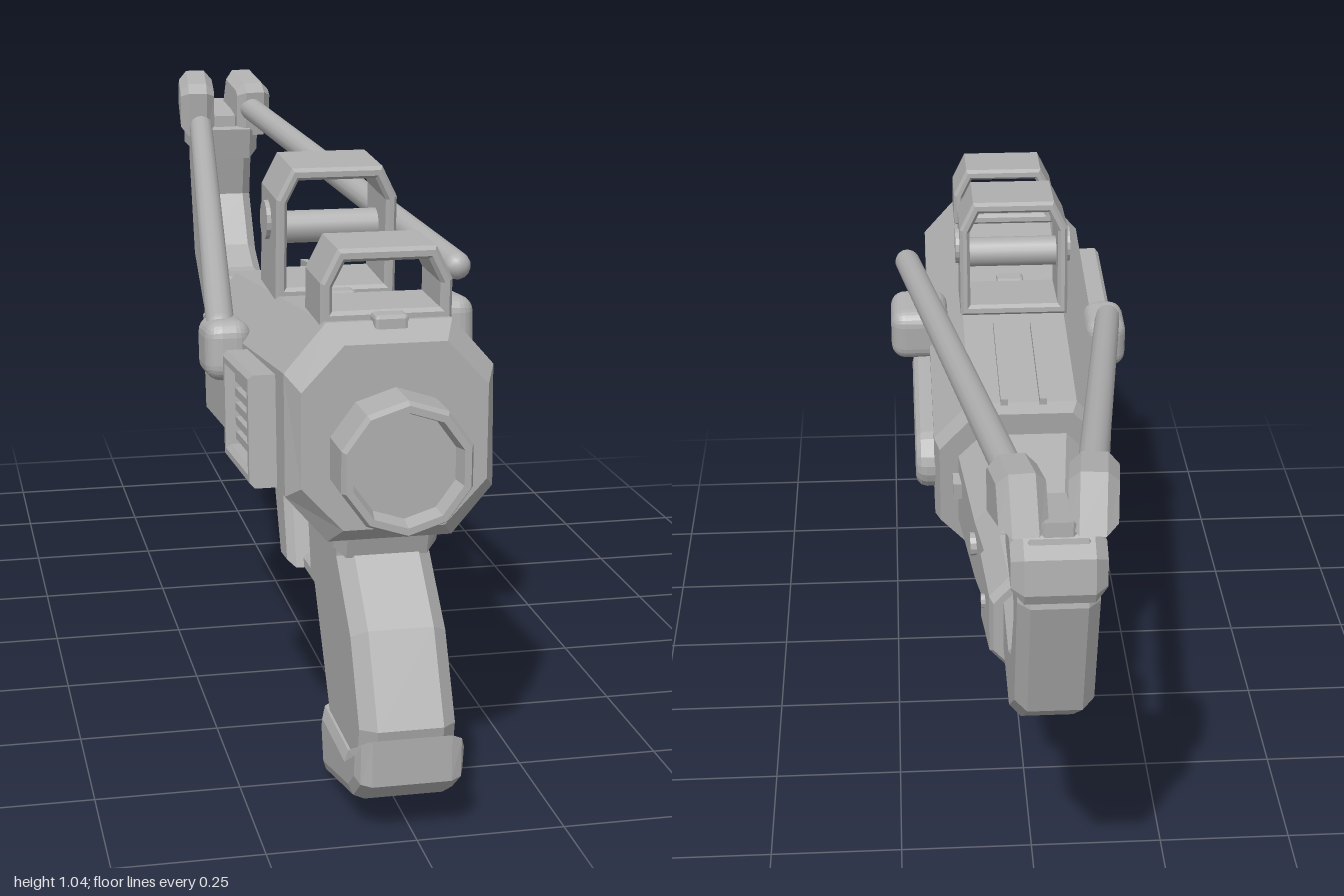
import * as THREE from 'three';
import { RoundedBoxGeometry } from 'three/addons/geometries/RoundedBoxGeometry.js';

const CX = -0.01; // centre plane of the frame
const gunGrey = new THREE.MeshStandardMaterial({ color: 0xb0b0b0, flatShading: true });
gunGrey.name = 'gunGrey';
const smoothGrey = new THREE.MeshStandardMaterial({ color: 0xb0b0b0 });
smoothGrey.name = 'smoothGrey';

export function createModel() {
  const root = new THREE.Group();
  root.name = 'crossbowPistol';

  const add = (name, geo, pos = [0, 0, 0], rot = [0, 0, 0], mat = gunGrey) => {
    const m = new THREE.Mesh(geo, mat);
    m.name = name;
    m.position.set(...pos);
    m.rotation.set(...rot);
    root.add(m);
    return m;
  };
  const toShape = (pts) => new THREE.Shape(pts.map(([a, b]) => new THREE.Vector2(a, b)));

  // Plate cut from a [z, y] outline, with its thickness along x
  const side = (name, pts, width, bevel = 0.015, x = CX, segs = 1) => {
    const geo = new THREE.ExtrudeGeometry(toShape(pts), {
      depth: width - 2 * bevel, bevelEnabled: true, bevelThickness: bevel,
      bevelSize: bevel, bevelOffset: -bevel, bevelSegments: segs,
    });
    geo.translate(0, 0, -(width - 2 * bevel) / 2);
    geo.rotateY(-Math.PI / 2);
    return add(name, geo, [x, 0, 0]);
  };

  // Octagonal hull through sections [z, y, halfWidth, halfHeight, chamferX, chamferY, lean]
  const hull = (name, sections) => {
    const rings = sections.map(([z, y, w, h, cx, cy, lean]) =>
      [[w, cy - h], [w, h - cy], [w - cx, h], [cx - w, h], [-w, h - cy], [-w, cy - h], [cx - w, -h], [w - cx, -h]]
        .map(([px, py]) => [px + CX, py + y, z - lean * py]));
    const v = [];
    const tri = (...p) => p.forEach((q) => v.push(...q));
    for (let s = 0; s < rings.length - 1; s++) {
      for (let i = 0; i < 8; i++) {
        const a = rings[s], b = rings[s + 1], j = (i + 1) % 8;
        tri(a[i], b[i], a[j]);
        tri(a[j], b[i], b[j]);
      }
    }
    const f = rings[0], k = rings[rings.length - 1];
    for (let i = 1; i < 7; i++) {
      tri(f[0], f[i], f[i + 1]);
      tri(k[0], k[i + 1], k[i]);
    }
    const geo = new THREE.BufferGeometry();
    geo.setAttribute('position', new THREE.Float32BufferAttribute(v, 3));
    geo.computeVertexNormals();
    return add(name, geo);
  };

  // Round bar with domed ends between two points
  const rod = (name, a, b, r) => {
    const p = new THREE.Vector3(...a), q = new THREE.Vector3(...b);
    const m = add(name, new THREE.CapsuleGeometry(r, p.distanceTo(q), 4, 14),
      p.clone().add(q).multiplyScalar(0.5).toArray(), [0, 0, 0], smoothGrey);
    m.quaternion.setFromUnitVectors(new THREE.Vector3(0, 1, 0), q.sub(p).normalize());
  };

  // Main body, fore-end and cuff, sloping down towards the bow
  hull('body', [
    [0.86, 0.655, 0.155, 0.155, 0.07, 0.075, 0],
    [0.82, 0.655, 0.175, 0.182, 0.07, 0.08, 0.05],
    [-0.03, 0.572, 0.175, 0.172, 0.07, 0.08, 0.16],
    [-0.063, 0.568, 0.165, 0.166, 0.07, 0.08, 0.16],
  ]);
  hull('foreEnd', [
    [-0.05, 0.562, 0.13, 0.128, 0.045, 0.05, 0.1],
    [-0.27, 0.538, 0.105, 0.11, 0.04, 0.045, 0.08],
    [-0.42, 0.54, 0.085, 0.09, 0.03, 0.035, 0.03],
  ]);
  hull('cuff', [
    [-0.405, 0.552, 0.095, 0.1, 0.035, 0.04, 0.04],
    [-0.42, 0.552, 0.1, 0.107, 0.035, 0.04, 0.04],
    [-0.545, 0.547, 0.09, 0.098, 0.035, 0.04, 0.05],
    [-0.56, 0.547, 0.083, 0.09, 0.035, 0.04, 0.05],
  ]);

  // Hollow muzzle ring
  const ring = [[0.001, 0.07], [0.088, 0.07], [0.095, 0.1], [0.107, 0.1], [0.113, 0.088], [0.113, -0.03]];
  const muzzle = new THREE.LatheGeometry(ring.map(([r, y]) => new THREE.Vector2(r, y)).reverse(), 10);
  add('muzzle', muzzle, [CX, 0.625, 0.855], [Math.PI / 2, 0, 0]);

  // Grip and its foot
  side('grip', [[0.82, 0.5], [0.81, 0.44], [0.915, 0.345], [0.99, 0.2], [0.97, 0.1], [0.73, 0.08],
    [0.71, 0.13], [0.59, 0.3], [0.555, 0.305], [0.53, 0.4], [0.48, 0.47], [0.48, 0.5]], 0.16, 0.025);
  side('gripFoot', [[1.0, 0.19], [1.0, 0.11], [0.945, 0.065], [0.72, 0.01], [0.695, 0.1], [0.71, 0.14], [0.9, 0.14]],
    0.182, 0.025, CX, 2);
  side('gripCollar', [[0.83, 0.5], [0.81, 0.435], [0.77, 0.43], [0.52, 0.42], [0.49, 0.47], [0.5, 0.5]], 0.178, 0.02);

  // Trigger, guard and the pillar behind the guard
  side('trigger', [[0.44, 0.46], [0.435, 0.35], [0.4, 0.285], [0.36, 0.28], [0.355, 0.31], [0.385, 0.36], [0.375, 0.46]], 0.045, 0.01);
  side('triggerGuard', [[0.55, 0.36], [0.545, 0.32], [0.435, 0.225], [0.24, 0.218], [0.24, 0.25],
    [0.42, 0.258], [0.52, 0.345], [0.53, 0.37]], 0.06, 0.008);
  side('guardPillar', [[0.22, 0.45], [0.21, 0.4], [0.265, 0.225], [0.175, 0.215], [0.105, 0.345],
    [0.065, 0.355], [0.04, 0.42], [0.04, 0.45]], 0.12, 0.015);

  // Curved bow limb and the forked head
  side('bowLimb', [[-0.54, 0.62], [-0.715, 0.62], [-0.785, 0.66], [-0.855, 0.77], [-0.82, 0.93], [-0.97, 0.96],
    [-0.99, 0.85], [-0.915, 0.61], [-0.74, 0.48], [-0.54, 0.48]], 0.13, 0.02);
  side('limbCollar', [[-0.8, 0.93], [-0.815, 0.86], [-0.99, 0.86], [-1.0, 0.88], [-0.995, 0.94], [-0.95, 0.965]], 0.15, 0.02);
  const prong = [[-0.8, 1.015], [-0.825, 1.035], [-0.93, 1.055], [-0.97, 0.965], [-0.81, 0.915]];
  for (const s of [1, -1]) {
    const m = side(s > 0 ? 'leftProng' : 'rightProng', prong, 0.078, 0.018, CX + s * 0.06);
    m.geometry.translate(0, 0, 0.88);
    m.position.z = -0.88;
    m.rotation.y = s * 0.1;
  }
  side('prongBridge', [[-0.82, 0.96], [-0.96, 0.985], [-0.96, 0.92], [-0.82, 0.92]], 0.06, 0.008);

  // Drawn arms running back from the head
  rod('leftArm', [0.045, 0.98, -0.85], [0.207, 0.843, 0.43], 0.026);
  rod('rightArm', [-0.065, 0.945, -0.85], [-0.215, 0.735, 0.36], 0.026);

  // Tunnel sights: a chamfered frame with an opening
  const sight = (name, base, h, z, d, tilt) => {
    const outline = (w, b, t, c) => [[-w, b], [w, b], [w, t - 2 * c], [w - c, t], [c - w, t], [-w, t - 2 * c]];
    const shape = toShape(outline(0.11, 0, h, 0.028));
    shape.holes.push(new THREE.Path(toShape(outline(0.09, 0.022, h - 0.022, 0.02)).getPoints().reverse()));
    const geo = new THREE.ExtrudeGeometry(shape, {
      depth: d - 0.016, bevelThickness: 0.008, bevelSize: 0.006, bevelOffset: -0.006, bevelSegments: 1,
    });
    geo.translate(0, 0, -d / 2 + 0.008);
    add(name, geo, [CX, base, z], [tilt, 0, 0]);
  };
  sight('frontSight', 0.83, 0.125, 0.728, 0.135, 0.03);
  sight('rearSight', 0.79, 0.24, 0.325, 0.16, 0.06);
  add('sightRoller', new THREE.CylinderGeometry(0.03, 0.03, 0.2, 16), [CX, 0.905, 0.325], [0, 0, Math.PI / 2], smoothGrey);
  for (const s of [1, -1]) {
    add('rollerCap', new THREE.CylinderGeometry(0.036, 0.036, 0.012, 16), [CX + s * 0.112, 0.92, 0.325], [0, 0, Math.PI / 2]);
    add('foreEndScrew', new THREE.CylinderGeometry(0.022, 0.022, 0.016, 12), [CX + s * 0.106, 0.555, -0.275], [0, 0, Math.PI / 2]);
    add('cuffScrew', new THREE.CylinderGeometry(0.013, 0.013, 0.01, 10), [CX + s * 0.097, 0.555, -0.48], [0, 0, Math.PI / 2]);
    add('clip', new THREE.BoxGeometry(0.03, 0.035, 0.04), [CX + s * 0.125, 0.58, -0.09], [-0.12, 0, 0]);
    add('topRail', new THREE.BoxGeometry(0.014, 0.014, 0.3), [CX + s * 0.038, 0.77, 0.07], [-0.1, 0, 0]);
  }
  for (const [y, z] of [[0.832, 0.81], [0.79, 0.425]]) {
    add('sightTab', new RoundedBoxGeometry(0.056, 0.034, 0.04, 1, 0.006), [CX, y, z]);
  }

  // Left side: long pod and cocking knob
  const pod = [];
  for (let i = 0; i < 20; i++) {
    const a = (i + 0.5) / 20 * Math.PI * 2;
    pod.push([Math.cos(a) * 0.062 + (Math.cos(a) > 0 ? 0.153 : -0.153), Math.sin(a) * 0.062]);
  }
  const podMesh = side('sidePod', pod, 0.09, 0.022, 0.157, 3);
  podMesh.position.set(0.157, 0.602, 0.175);
  podMesh.rotation.x = -0.07;
  add('cockingKnob', new RoundedBoxGeometry(0.12, 0.11, 0.135, 3, 0.03), [0.185, 0.725, 0.37], [-0.08, 0, 0]);

  // Right side: arm pivot and slatted vent
  add('armPivot', new RoundedBoxGeometry(0.085, 0.11, 0.125, 3, 0.03), [-0.208, 0.695, 0.365], [-0.08, 0, 0]);
  const vent = toShape([[-0.135, -0.095], [0.135, -0.095], [0.135, 0.095], [-0.135, 0.095]]);
  vent.holes.push(new THREE.Path([[-0.105, -0.068], [-0.105, 0.068], [0.105, 0.068], [0.105, -0.068]]
    .map(([a, b]) => new THREE.Vector2(a, b))));
  const ventGeo = new THREE.ExtrudeGeometry(vent, {
    depth: 0.044, bevelThickness: 0.008, bevelSize: 0.008, bevelOffset: -0.008, bevelSegments: 1,
  });
  ventGeo.translate(0, 0, -0.022);
  ventGeo.rotateY(-Math.PI / 2);
  add('ventFrame', ventGeo, [-0.2, 0.632, 0.615], [-0.08, 0, 0]);
  for (let i = -2; i <= 2; i++) {
    add('ventSlat', new THREE.BoxGeometry(0.03, 0.014, 0.215), [-0.198, 0.632 + i * 0.026, 0.615], [-0.08, 0, 0]);
  }
  return root;
}
